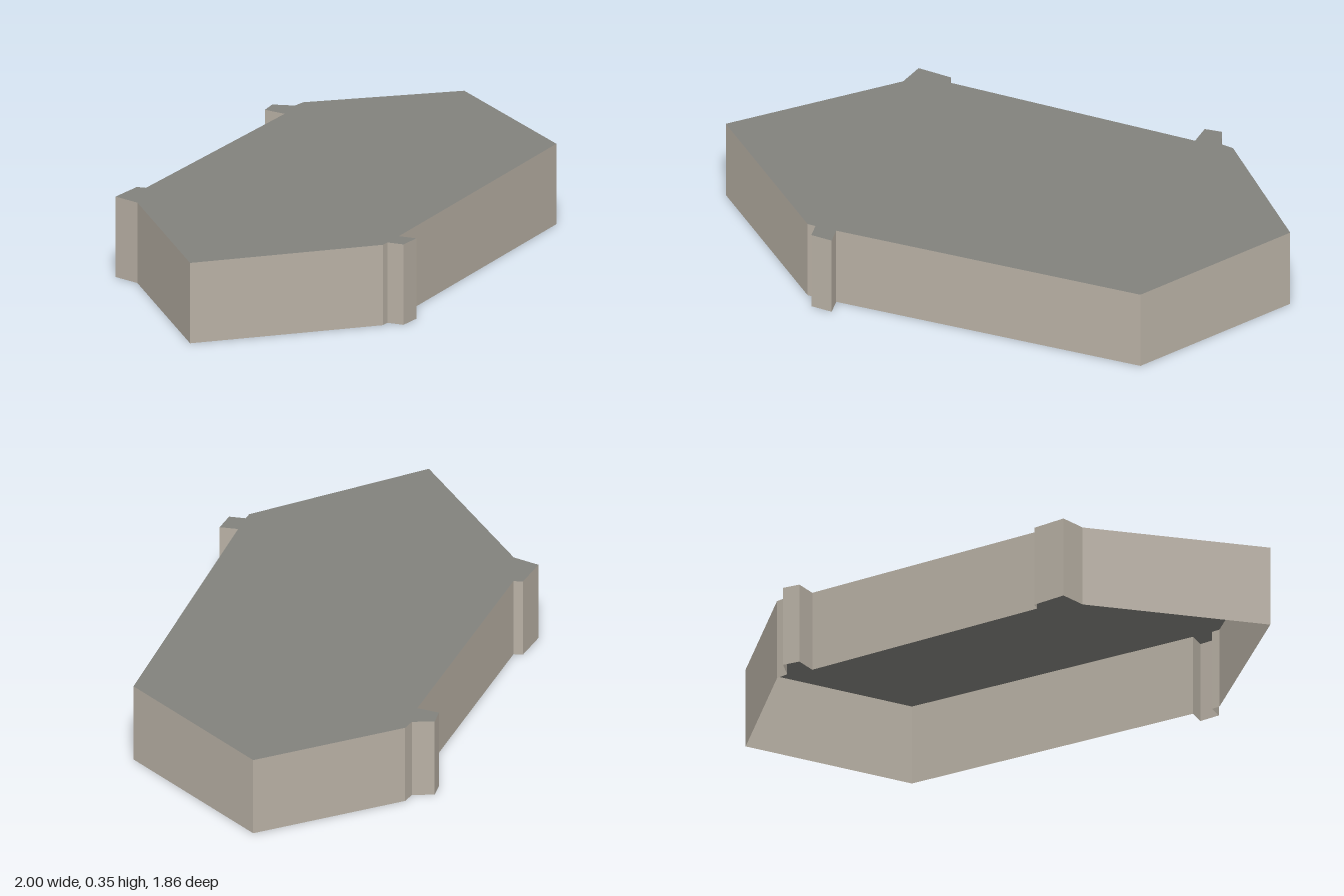
import * as THREE from 'three';

export function createModel() {
  const model = new THREE.Group();
  model.name = 'flatRoofedBlock';
  const H = 0.352;

  const wallMaterial = new THREE.MeshStandardMaterial({ color: 0xb8b0a4, side: THREE.DoubleSide });
  wallMaterial.name = 'warm stone wall';
  const roofMaterial = new THREE.MeshStandardMaterial({ color: 0x82827d, side: THREE.DoubleSide });
  roofMaterial.name = 'grey roof';

  // Footprint as x, z corners, anticlockwise from above; three corners carry small buttresses
  const outline = [
    [0.92, -0.775], [0.25, -0.905],
    [0.2, -0.88], [0.12, -0.93], [0.065, -0.88], [0.12, -0.8],
    [-0.785, -0.16], [-0.815, -0.185], [-0.945, -0.107], [-0.893, 0],
    [-1, 0.795], [-0.175, 0.9],
    [-0.145, 0.88], [-0.095, 0.93], [-0.015, 0.88], [-0.07, 0.825],
    [1, 0],
  ];

  // Flat roof sheet over the whole footprint
  const shape = new THREE.Shape(outline.map(([x, z]) => new THREE.Vector2(x, -z)));
  const roof = new THREE.Mesh(new THREE.ShapeGeometry(shape).rotateX(-Math.PI / 2), roofMaterial);
  roof.name = 'roof';
  roof.position.y = H;
  model.add(roof);

  // One thin wall per footprint edge; the underside stays open
  const walls = new THREE.Group();
  walls.name = 'walls';
  outline.forEach(([x, z], i) => {
    const [x2, z2] = outline[(i + 1) % outline.length];
    const length = Math.hypot(x2 - x, z2 - z);
    const wall = new THREE.Mesh(new THREE.PlaneGeometry(length, H), wallMaterial);
    wall.name = length < 0.2 ? 'buttressWall' : 'mainWall';
    wall.position.set((x + x2) / 2, H / 2, (z + z2) / 2);
    wall.rotation.y = Math.atan2(z - z2, x2 - x);
    walls.add(wall);
  });
  model.add(walls);

  return model;
}
